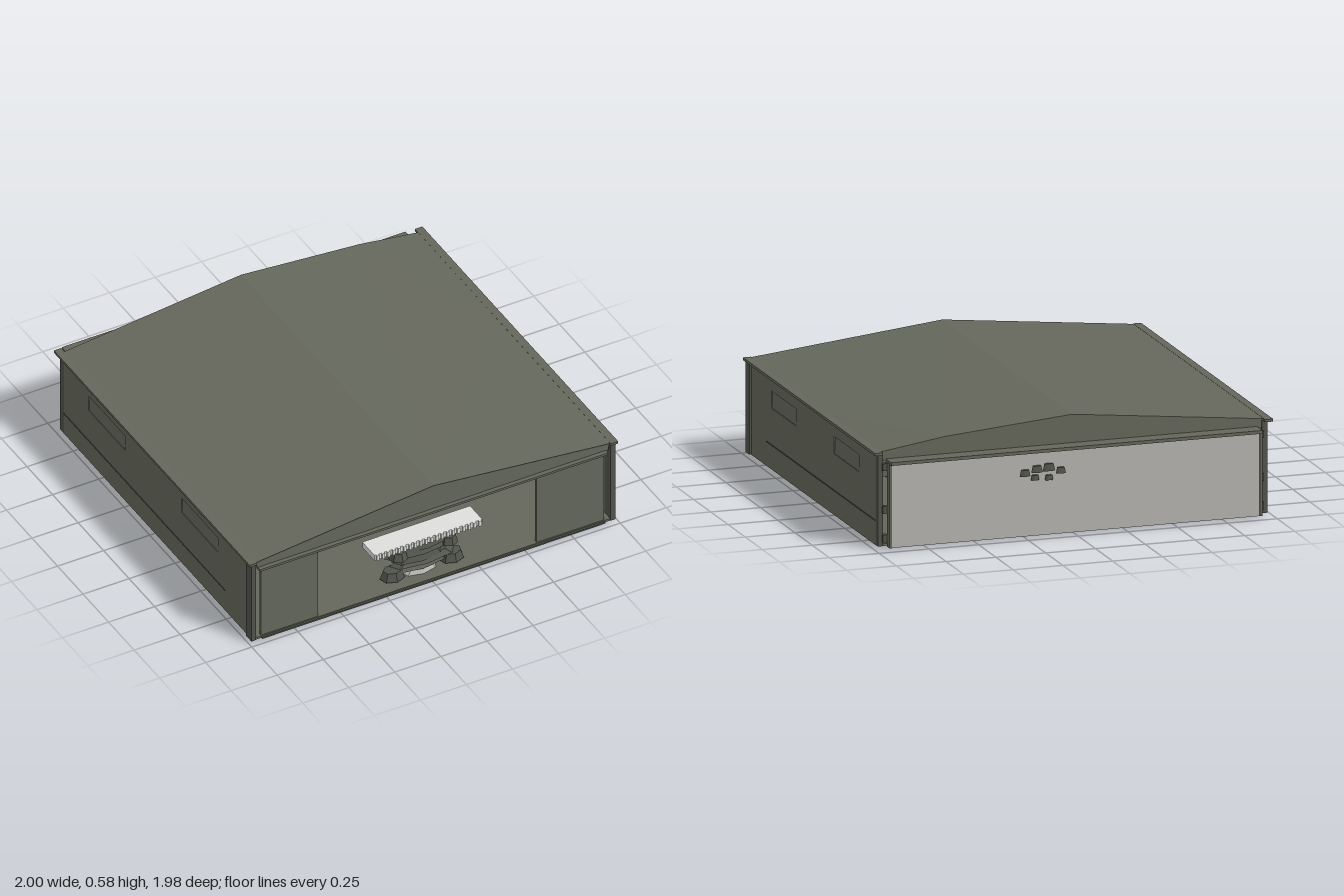
import * as THREE from 'three';

const mat = (name, color, side = THREE.FrontSide) => {
  const m = new THREE.MeshStandardMaterial({ color, side });
  m.name = name;
  return m;
};

export function createModel() {
  const olive = mat('olive', 0x64675b);
  const oliveSheet = mat('olive sheet', 0x64675b, THREE.DoubleSide);
  const dark = mat('dark olive', 0x50534a);
  const pale = mat('pale grey', 0xb5b3af);
  const white = mat('white', 0xdddddb);
  const model = new THREE.Group();
  model.name = 'shelter';

  const add = (name, geometry, material, parent = model) => {
    const mesh = new THREE.Mesh(geometry, material);
    mesh.name = name;
    parent.add(mesh);
    return mesh;
  };
  // Box given by its limits on each axis
  const box = (name, x0, x1, y0, y1, z0, z1, material = olive) => {
    const mesh = add(name, new THREE.BoxGeometry(x1 - x0, y1 - y0, z1 - z0), material);
    mesh.position.set((x0 + x1) / 2, (y0 + y1) / 2, (z0 + z1) / 2);
    return mesh;
  };
  const lump = (name, x, y, z, sx, sy, sz, material = dark) => {
    const mesh = add(name, new THREE.CylinderGeometry(0.75, 1, 2, 7).toNonIndexed(), material);
    mesh.geometry.computeVertexNormals();
    mesh.position.set(x, y, z);
    mesh.scale.set(sx, sy, sz);
    return mesh;
  };

  // Floor with small feet
  box('floor', -0.97, 0.97, 0.01, 0.022, -0.91, 0.97);
  for (const x of [-0.85, 0, 0.85]) for (const z of [-0.8, 0, 0.85]) {
    const foot = add('foot', new THREE.CylinderGeometry(0.022, 0.022, 0.012, 8), dark);
    foot.position.set(x, 0.006, z);
  }

  // Side walls with two shuttered windows each
  const windows = [[0.27, 0.63], [-0.64, -0.28]];
  for (const s of [-1, 1]) {
    const shape = new THREE.Shape([[-0.89, 0.01], [0.97, 0.01], [0.97, 0.465], [-0.905, 0.465]]
      .map(p => new THREE.Vector2(...p)));
    for (const [a, b] of windows) {
      shape.holes.push(new THREE.Path([[a, 0.31], [a, 0.395], [b, 0.395], [b, 0.31]]
        .map(p => new THREE.Vector2(...p))));
    }
    const wall = new THREE.ExtrudeGeometry(shape, { depth: 0.015, bevelEnabled: false });
    wall.rotateY(-Math.PI / 2);
    wall.translate(s * 0.97 + 0.0075, 0, 0);
    add('sideWall', wall, olive);
    for (const [a, b] of windows) {
      const shutter = box('windowShutter', s * 0.97 - 0.004, s * 0.97 + 0.004, 0.312, 0.393, a + 0.004, b - 0.004);
      shutter.rotation.z = s * 0.05;
    }
    box('wallSeam', s * 0.979 - 0.002, s * 0.979 + 0.002, 0.129, 0.133, -0.88, 0.7, dark);
    box('eaveRail', s * 0.98 - 0.02, s * 0.98 + 0.02, 0.462, 0.475, -0.94, 0.98);
    box('frontCornerPost', s * 0.975 - 0.013, s * 0.975 + 0.013, 0.012, 0.465, 0.92, 0.975, dark);
    box('backCornerPost', s * 0.965 - 0.013, s * 0.965 + 0.013, 0.012, 0.465, -0.92, -0.88, dark);
    for (const y of [0.05, 0.19, 0.4]) {
      box('hinge', s * 0.945 - 0.012, s * 0.945 + 0.012, y - 0.018, y + 0.018, -0.93, -0.9, dark);
    }
  }

  // Low pitched roof, with a folded back corner on one slope
  const ridgeF = [0, 0.577, 0.975], ridgeB = [0, 0.577, -0.91];
  const foldTop = [0.64, 0.522, -0.91], foldEave = [0.97, 0.473, -0.14];
  const eaveF = [0.97, 0.473, 0.975], eaveB = [0.97, 0.473, -0.91];
  const leftF = [-0.97, 0.473, 0.975], leftB = [-0.97, 0.473, -0.91];
  const roof = new THREE.BufferGeometry();
  roof.setAttribute('position', new THREE.Float32BufferAttribute([
    ridgeF, eaveF, foldEave, ridgeF, foldEave, foldTop, ridgeF, foldTop, ridgeB,
    foldTop, foldEave, eaveB,
    ridgeF, ridgeB, leftB, ridgeF, leftB, leftF,
  ].flat(), 3));
  roof.computeVertexNormals();
  add('roof', roof, oliveSheet);

  // Gables
  const gable = (name, z, rightHalf) => {
    const pts = [[-0.95, 0.43], [0.95, 0.43], [0.96, 0.472], ...rightHalf, [0, 0.575], [-0.96, 0.472]];
    const g = new THREE.ExtrudeGeometry(new THREE.Shape(pts.map(p => new THREE.Vector2(...p))),
      { depth: 0.01, bevelEnabled: false });
    g.translate(0, 0, z);
    add(name, g, olive);
  };
  gable('frontGable', 0.958, []);
  gable('backGable', -0.908, [[0.64, 0.52]]);

  // Front panels either side of the wide doorway
  box('frontPanelRight', -0.93, -0.62, 0.012, 0.43, 0.95, 0.965);
  box('frontPanelLeft', 0.565, 0.93, 0.012, 0.43, 0.95, 0.965);
  box('frontHeader', -0.95, 0.94, 0.424, 0.436, 0.955, 0.99);
  box('frontSill', -0.93, 0.93, 0.01, 0.018, 0.95, 0.98, dark);

  // Back panel with its lip, frame posts and rails
  box('backPanel', -0.925, 0.93, 0.012, 0.425, -0.968, -0.945, pale);
  box('backLip', -0.93, 0.935, 0.42, 0.436, -0.988, -0.9);
  box('backPanelEdge', -0.935, -0.922, 0.012, 0.425, -0.972, -0.935);
  box('backPanelEdge', 0.925, 0.938, 0.012, 0.425, -0.972, -0.935);
  box('backBeam', -0.95, 0.95, 0.35, 0.43, -0.91, -0.89);
  for (const x of [-0.365, 0.385]) box('framePost', x - 0.017, x + 0.017, 0.015, 0.36, -0.935, -0.905, dark);
  box('frameRail', -0.93, 0.93, 0.125, 0.137, -0.935, -0.91, dark);
  box('frameTopRail', -0.93, 0.93, 0.343, 0.356, -0.92, -0.885, dark);

  // Latch fittings on both faces of the back panel
  for (const [x, y, r] of [[0.08, 0.325, 0.026], [0.14, 0.345, 0.032], [0.2, 0.34, 0.03],
    [0.26, 0.325, 0.028], [0.14, 0.295, 0.022], [0.21, 0.3, 0.022]]) {
    lump('outerLatch', x, y, -0.977, r, r * 0.55, 0.012);
    lump('innerLatch', x, y, -0.925, r, r * 0.55, 0.02);
  }
  box('hangingLamp', 0.09, 0.21, 0.335, 0.385, -0.9, -0.8, dark);
  box('latchRod', 0.245, 0.259, 0.04, 0.385, -0.92, -0.9, dark);
  box('latchRodBlock', 0.225, 0.275, 0.1, 0.13, -0.925, -0.895, dark);

  // Counter with a ribbed white top on a cluttered stand
  box('counterTop', -0.295, 0.29, 0.208, 0.24, 0.81, 0.93, white);
  for (let i = 0; i < 20; i++) {
    const x = -0.28 + i * 0.0292;
    box('counterRib', x - 0.007, x + 0.007, 0.21, 0.24, 0.93, 0.94, white);
  }
  const stand = [[0, 0.19, 0.17, 0.02], [-0.02, 0.16, 0.2, 0.018], [-0.03, 0.125, 0.14, 0.02],
    [0, 0.095, 0.18, 0.015], [-0.02, 0.07, 0.16, 0.012]];
  for (const [x, y, w, h] of stand) lump('standTray', x, y, 0.87, w, h, 0.055);
  for (const x of [-0.17, 0.15]) {
    lump('standFoot', x, 0.055, 0.88, 0.065, 0.022, 0.05);
    lump('standBracket', x * 0.85, 0.165, 0.88, 0.05, 0.02, 0.06);
  }
  lump('standBase', -0.02, 0.03, 0.87, 0.1, 0.012, 0.05, pale);

  return model;
}
